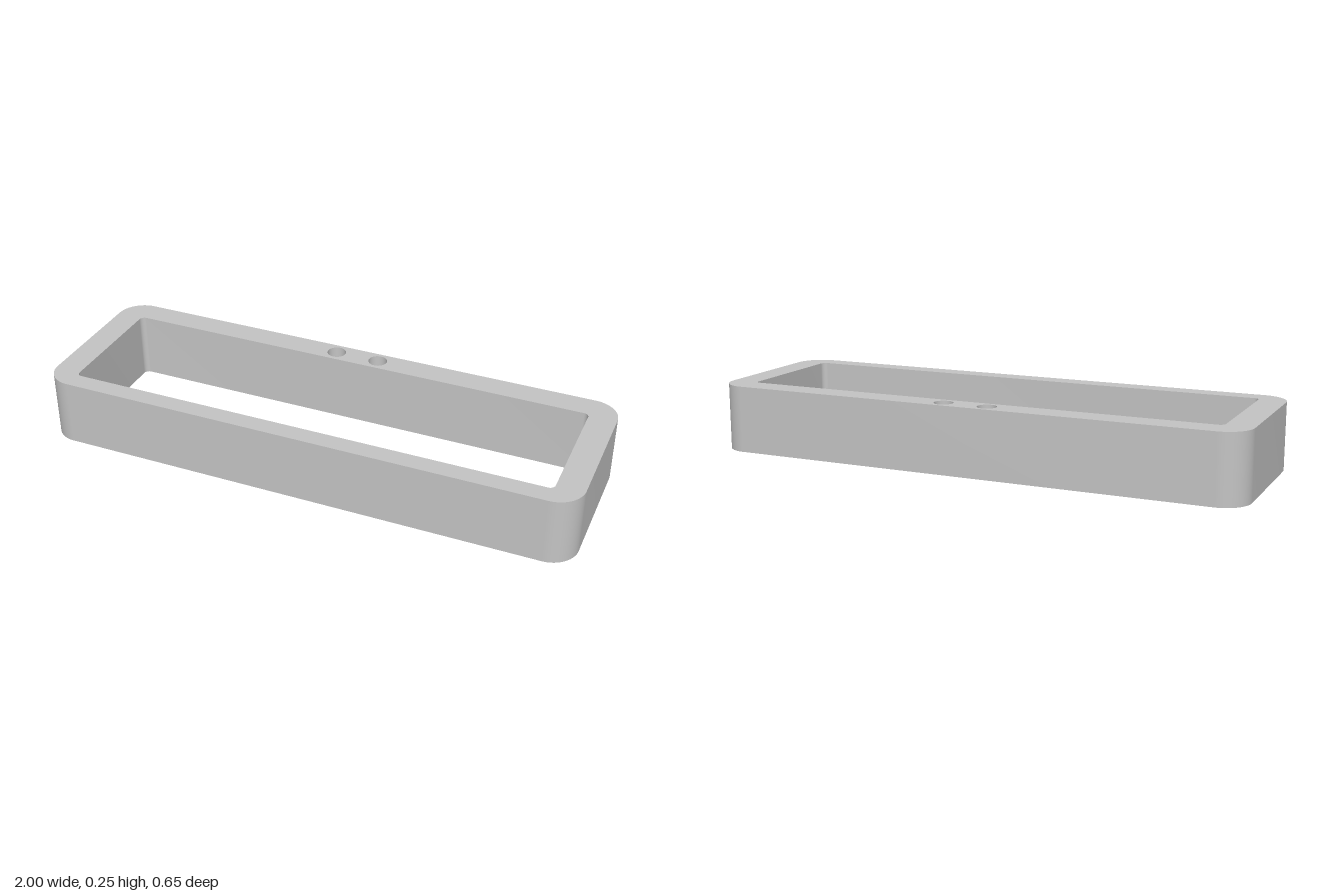
import * as THREE from 'three';
import { mergeGeometries, toCreasedNormals } from 'three/addons/utils/BufferGeometryUtils.js';

const HEIGHT = 0.248;
const POCKET = { x: 0.083, z: -0.275, radius: 0.035, depth: 0.12 };
const SEGMENTS = 16;

// Rounded rectangle between two corners
function roundedRect(path, x0, y0, x1, y1, r) {
  path.moveTo(x0 + r, y0);
  path.lineTo(x1 - r, y0);
  path.absarc(x1 - r, y0 + r, r, -Math.PI / 2, 0);
  path.lineTo(x1, y1 - r);
  path.absarc(x1 - r, y1 - r, r, 0, Math.PI / 2);
  path.lineTo(x0 + r, y1);
  path.absarc(x0 + r, y1 - r, r, Math.PI / 2, Math.PI);
  path.lineTo(x0, y0 + r);
  path.absarc(x0 + r, y0 + r, r, Math.PI, Math.PI * 1.5);
  return path;
}

// Plan of the frame (shape y becomes -z); the back rail is wider than the front
function framePlan() {
  const plan = roundedRect(new THREE.Shape(), -1, -0.323, 1, 0.323, 0.1);
  plan.holes.push(roundedRect(new THREE.Path(), -0.9, -0.253, 0.9, 0.226, 0.02));
  return plan;
}

// Walls and underside: an extrusion with its top cap left off
function openFrame() {
  const solid = new THREE.ExtrudeGeometry(framePlan(), {
    depth: HEIGHT, bevelEnabled: false, curveSegments: SEGMENTS,
  });
  const p = solid.attributes.position.array;
  const kept = [];
  for (let i = 0; i < p.length; i += 9) {
    const isTop = [2, 5, 8].every((k) => p[i + k] > HEIGHT - 1e-4);
    if (!isTop) kept.push(...p.slice(i, i + 9));
  }
  const open = new THREE.BufferGeometry();
  open.setAttribute('position', new THREE.Float32BufferAttribute(kept, 3));
  return open.rotateX(-Math.PI / 2);
}

// Keep positions only, so that the pieces can be merged
function bare(geometry) {
  const g = geometry.index ? geometry.toNonIndexed() : geometry;
  g.deleteAttribute('uv');
  g.deleteAttribute('normal');
  return g;
}

export function createModel() {
  const grey = new THREE.MeshStandardMaterial({ color: 0xc4c4c4 });
  grey.name = 'grey';

  // Top face with two round openings, and the blind pockets below them
  const top = framePlan();
  const pieces = [openFrame()];
  for (const side of [-1, 1]) {
    const x = side * POCKET.x;
    const opening = new THREE.Path();
    opening.absarc(x, -POCKET.z, POCKET.radius, 0, Math.PI * 2);
    top.holes.push(opening);

    const wall = new THREE.CylinderGeometry(POCKET.radius, POCKET.radius, POCKET.depth, SEGMENTS * 2, 1, true);
    wall.scale(-1, 1, 1); // turn the wall to face inward
    wall.translate(x, HEIGHT - POCKET.depth / 2, POCKET.z);
    const floor = new THREE.CircleGeometry(POCKET.radius, SEGMENTS * 2);
    floor.rotateX(-Math.PI / 2).translate(x, HEIGHT - POCKET.depth, POCKET.z);
    pieces.push(bare(wall), bare(floor));
  }
  const topFace = new THREE.ShapeGeometry(top, SEGMENTS);
  topFace.rotateX(-Math.PI / 2).translate(0, HEIGHT, 0);
  pieces.push(bare(topFace));

  // Enlarged while smoothing so that the small corners stay distinct
  const merged = mergeGeometries(pieces).scale(10, 10, 10);
  const geometry = toCreasedNormals(merged, 0.6).scale(0.1, 0.1, 0.1);

  const frame = new THREE.Mesh(geometry, grey);
  frame.name = 'frame';
  const group = new THREE.Group();
  group.name = 'rectangularFrame';
  group.add(frame);
  return group;
}
